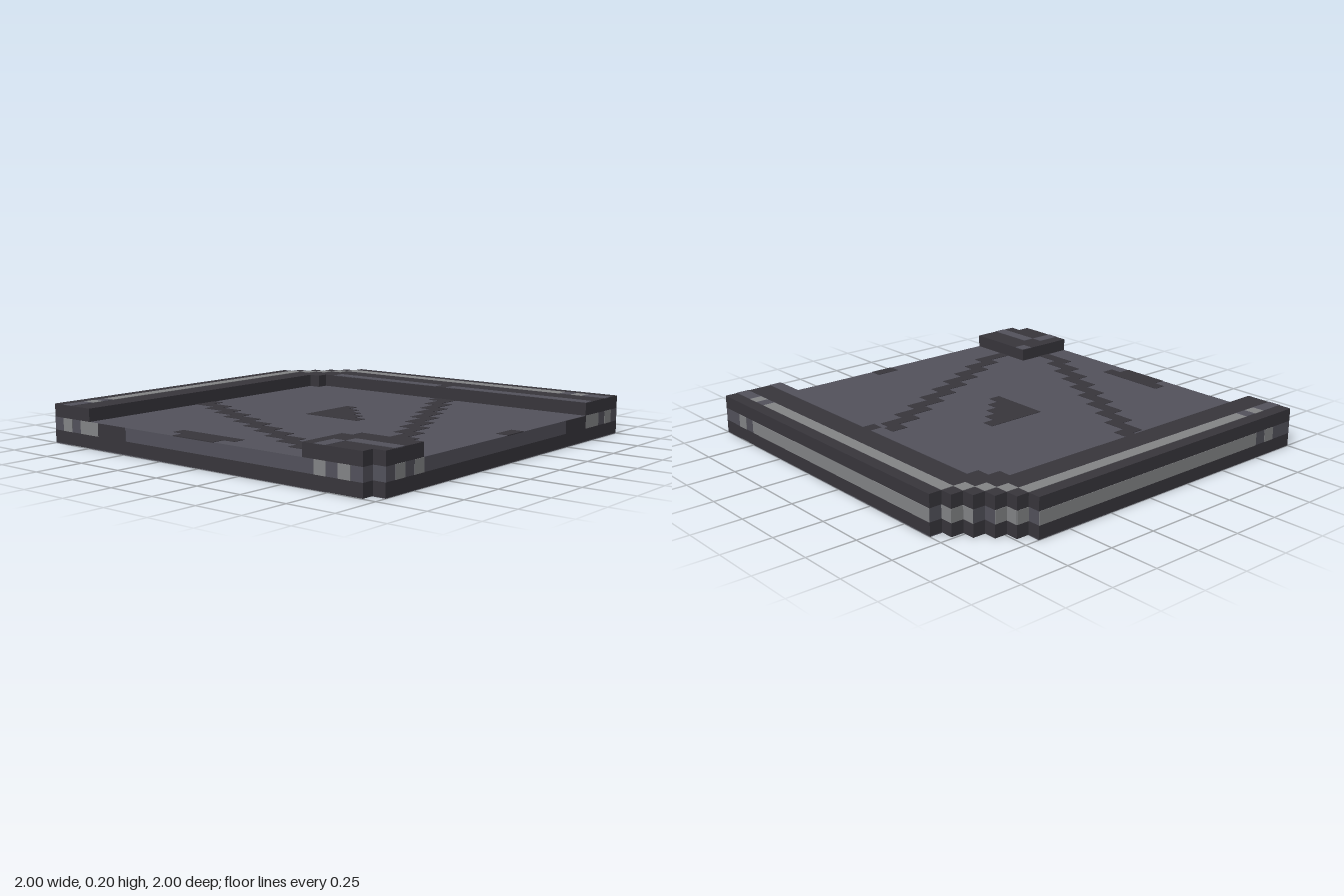
import * as THREE from 'three';

const N = 31, V = 2 / N, E = 0.002; // grid cells, cell size, half plate thickness
const mat = (name, color) => {
  const m = new THREE.MeshStandardMaterial({ color });
  m.name = name;
  return m;
};

export function createModel() {
  const dark = mat('darkMetal', 0x38363c);
  const mid = mat('greyMetal', 0x53525c);
  const light = mat('lightMetal', 0x848587);
  const model = new THREE.Group();
  model.name = 'floorTile';
  const pos = (g) => (g - N / 2) * V;

  const add = (name, geometry, material) => {
    const mesh = new THREE.Mesh(geometry, material);
    mesh.name = name;
    model.add(mesh);
    return mesh;
  };
  // Slab from a grid outline between two layer heights
  const slab = (name, pts, y0, y1, material) => {
    const shape = new THREE.Shape(pts.map(([c, r]) => new THREE.Vector2(pos(c), pos(r))));
    const g = new THREE.ExtrudeGeometry(shape, { depth: (y1 - y0) * V, bevelEnabled: false });
    g.rotateX(Math.PI / 2).translate(0, y1 * V, 0);
    add(name, g, material);
  };
  // Box between grid corners; a zero extent becomes a thin painted plate
  const plate = (name, material, c0, c1, y0, y1, r0, r1) => {
    const size = (a, b) => (a === b ? 2 * E : (b - a) * V);
    const g = new THREE.BoxGeometry(size(c0, c1), size(y0, y1), size(r0, r1));
    add(name, g, material).position.set(pos((c0 + c1) / 2), ((y0 + y1) / 2) * V, pos((r0 + r1) / 2));
  };
  const top = (name, m, y, c0, c1, r0, r1) => plate(name, m, c0, c1, y, y, r0, r1);

  // Stepped corner shared by the base and the rail
  const steps = [];
  for (let i = 0; i < 5; i++) steps.push([26 + i, i], [26 + i, i + 1]);
  steps.push([31, 5]);
  const outline = [[0, 0], ...steps, [31, 31], [1, 31], [1, 30], [0, 30]];
  slab('base', outline, 0, 1, dark);
  slab('floor', outline, 1, 2, mid);
  slab('rail', [[0, 0], ...steps, [31, 31], [26, 31], [26, 5], [25, 5], [25, 4], [0, 4]], 2, 3, dark);
  slab('cornerBlock', [[0, 25], [5, 25], [5, 31], [1, 31], [1, 30], [0, 30]], 2, 3, dark);

  // Rail top stripes
  top('backStripeEnd', mid, 3, 0, 2, 1, 2);
  top('backLamp', light, 3, 2, 3, 1, 2);
  top('backStripeGap', mid, 3, 3, 4, 1, 2);
  top('backStripe', light, 3, 4, 26, 1, 2);
  for (let i = 0; i < 3; i++) top('cornerStripe', light, 3, 26 + i, 27 + i, 2 + i, 3 + i);
  top('sideStripe', light, 3, 29, 30, 5, 27);
  top('sideStripeGap', mid, 3, 29, 30, 27, 28);
  top('sideLamp', light, 3, 29, 30, 28, 29);
  top('sideStripeEnd', mid, 3, 29, 30, 29, 31);
  top('railLedge', mid, 3, 26, 27, 6, 17);
  top('railLedge', mid, 3, 26, 27, 18, 31);

  // Corner block top
  top('blockStripe', mid, 3, 0, 2, 26, 27);
  top('blockStripe', mid, 3, 2, 3, 27, 31);
  top('blockChip', mid, 3, 4, 5, 25, 26);

  // Stepped lines on the floor
  for (let k = 0; k < 10; k++) {
    top('steepLine', dark, 2, 11 - k, 13 - k, 4 + 2 * k, 5 + 2 * k);
    top('steepLine', dark, 2, 11 - k, 12 - k, 5 + 2 * k, 6 + 2 * k);
    top('shallowLine', dark, 2, 23 - 2 * k, 26 - 2 * k, 18 + k, 19 + k);
  }
  top('steepLine', dark, 2, 2, 3, 24, 25);
  top('shallowLine', dark, 2, 25, 26, 17, 18);

  // Floor patches
  for (let i = 0; i < 5; i++) top('centreTriangle', dark, 2, 13, 18 - i, 14 + i, 15 + i);
  top('edgePatch', dark, 2, 0, 2, 13, 17);
  top('edgePatch', dark, 2, 1, 2, 12, 13);
  top('edgePatch', dark, 2, 1, 2, 17, 18);
  top('frontPatch', dark, 2, 15, 17, 30, 31);

  // Side bands: front and right side (open ends)
  const front = (name, m, a, b) => plate(name, m, a, b, 1, 2, 31, 31);
  const rightEnd = (name, m, a, b) => plate(name, m, 0, 0, 1, 2, a, b);
  front('frontLamp', light, 2, 3);
  front('frontLamp', light, 4, 5);
  front('frontPanel', dark, 23, 26);
  front('frontLamp', light, 26, 28);
  front('frontLamp', light, 29, 30);
  rightEnd('rightLamp', light, 28, 29);
  rightEnd('rightLamp', light, 26, 27);
  rightEnd('rightPanel', dark, 5, 8);
  rightEnd('rightLamp', light, 3, 5);
  rightEnd('rightLamp', light, 1, 2);

  // Side bands along the two railed sides
  plate('backBand', light, 4, 26, 1, 2, 0, 0);
  plate('backBandLamp', light, 2, 3, 1, 2, 0, 0);
  plate('leftBand', light, 31, 31, 1, 2, 5, 27);
  plate('leftBandLamp', light, 31, 31, 1, 2, 28, 29);
  for (const i of [1, 3, 4]) {
    plate('stepBand', light, 26 + i, 26 + i, 1, 2, i, i + 1);
    plate('stepBand', light, 30 - i, 31 - i, 1, 2, 5 - i, 5 - i);
  }

  // Underside panels leave dark grooves between them
  const under = (c0, c1, r0, r1) => top('underPanel', mid, 0, c0, c1, r0, r1);
  under(0, 26, 0, 2);
  under(0, 31, 5, 14);
  under(0, 29, 4, 5);
  under(0, 31, 18, 27);
  under(1, 31, 29, 31);
  [[13, 22], [13, 21], [14, 19], [15, 18]].forEach(([a, b], i) => {
    under(0, a, 14 + i, 15 + i);
    under(b, 31, 14 + i, 15 + i);
  });
  return model;
}
